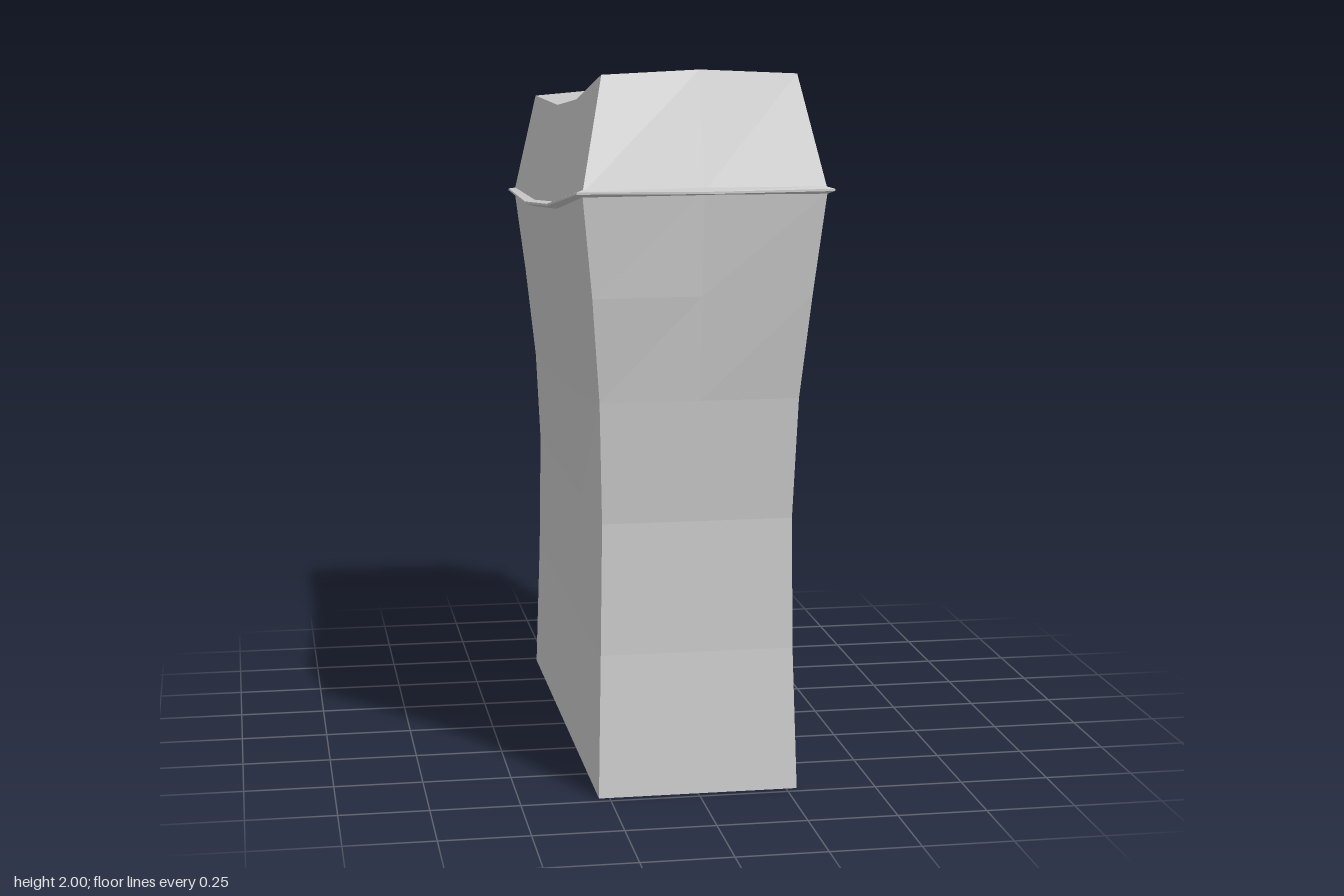
import * as THREE from 'three';

// Curved top line of the body, sampled at four stations from front to back
const SHEER = [1.68, 1.6, 1.558, 1.55];

// Ten-point ring: four stations per long side plus a midpoint on each end
function ring(hx, zs, ys, { bulge = 0, endZ = 0, endY = 0 } = {}) {
  const side = (s) => zs.map((z, i) => [s * (hx + (i === 1 || i === 2 ? bulge : 0)), ys[i], z]);
  const right = side(1), left = side(-1).reverse();
  return [
    left[3], [0, ys[0] + endY, zs[0] + endZ], ...right,
    [0, ys[3] + endY, zs[3] - endZ], ...left.slice(0, 3),
  ];
}

const stations = (front, back) => [front, 0.27, -0.27, -back];
const raise = (d) => SHEER.map((y) => y + d);

// Skin a stack of rings, bottom to top, plus optional extra points and faces
function loft(name, rings, extraPoints = [], extraFaces = []) {
  const n = rings[0].length;
  const index = [];
  for (let k = 0; k < rings.length - 1; k++) {
    for (let i = 0; i < n; i++) {
      const j = (i + 1) % n;
      const a = k * n + i, b = k * n + j, c = b + n, d = a + n;
      index.push(a, b, c, a, c, d);
    }
  }
  index.push(...extraFaces.flat());
  const geometry = new THREE.BufferGeometry();
  geometry.setAttribute('position',
    new THREE.Float32BufferAttribute([...rings.flat(), ...extraPoints].flat(), 3));
  geometry.setIndex(index);
  geometry.computeVertexNormals();
  const material = new THREE.MeshStandardMaterial({ color: 0xcccccc, flatShading: true });
  const mesh = new THREE.Mesh(geometry, material);
  mesh.name = name;
  return mesh;
}

// Waisted body: [height, share of the top curve, half width, front z, back z, end offset]
function makeBody() {
  const rows = [
    [0, 0, 0.28, 0.725, 0.725, 0],
    [0.4, 0, 0.27, 0.7, 0.697, 0],
    [0.77, 0.1, 0.265, 0.7, 0.693, 0],
    [1.11, 0.65, 0.275, 0.73, 0.72, 0],
    [1.4, 0.8, 0.3, 0.775, 0.77, -0.01],
    [1.68, 1, 0.33, 0.81, 0.805, -0.02],
  ];
  const rings = rows.map(([y, share, hx, front, back, endZ]) =>
    ring(hx, stations(front, back), SHEER.map((s) => y + share * (s - SHEER[0])), { endZ }));
  // Underside as a fan around its centre
  const centre = rings.length * 10;
  const underside = Array.from({ length: 10 }, (_, i) => [centre, (i + 1) % 10, i]);
  return loft('body', rings, [[0, 0, 0]], underside);
}

// Thin wedge-shaped rim that points outward at both ends
function makeRim() {
  const inner = (d) => ring(0.328, stations(0.808, 0.802), raise(d), { endZ: -0.02 });
  const tip = (d) => ring(0.347, stations(0.825, 0.825), raise(d), { bulge: 0.011, endZ: 0.037 });
  return loft('rim', [inner(-0.006), tip(0.003), tip(0.009), inner(0.014)]);
}

// Sloped lid with a shallow ridge along its top
function makeLid() {
  const base = ring(0.33, stations(0.81, 0.805), raise(0.005), { endZ: -0.02 });
  const top = ring(0.265, [0.715, 0.22, -0.2, -0.757], [1.99, 1.9, 1.862, 1.862],
    { endZ: -0.004, endY: 0.012 });
  const ridge = [[0, 1.913, 0.15], [0, 1.896, -0.16], [0, 1.896, -0.57]];
  // Ring indices of the top: 10 front left, 11 front middle, 12-15 right, 16 back middle, 17-19 left
  const rightFaces = [
    [11, 12, 13], [11, 13, 20], [20, 13, 14], [20, 14, 21],
    [21, 14, 15], [21, 15, 22], [22, 15, 16],
  ];
  const mirror = { 12: 10, 13: 19, 14: 18, 15: 17 };
  const leftFaces = rightFaces.map((f) => f.map((i) => mirror[i] ?? i).reverse());
  return loft('lid', [base, top], ridge, [...rightFaces, ...leftFaces]);
}

export function createModel() {
  const model = new THREE.Group();
  model.name = 'liddedBlock';
  model.add(makeBody(), makeRim(), makeLid());
  return model;
}
